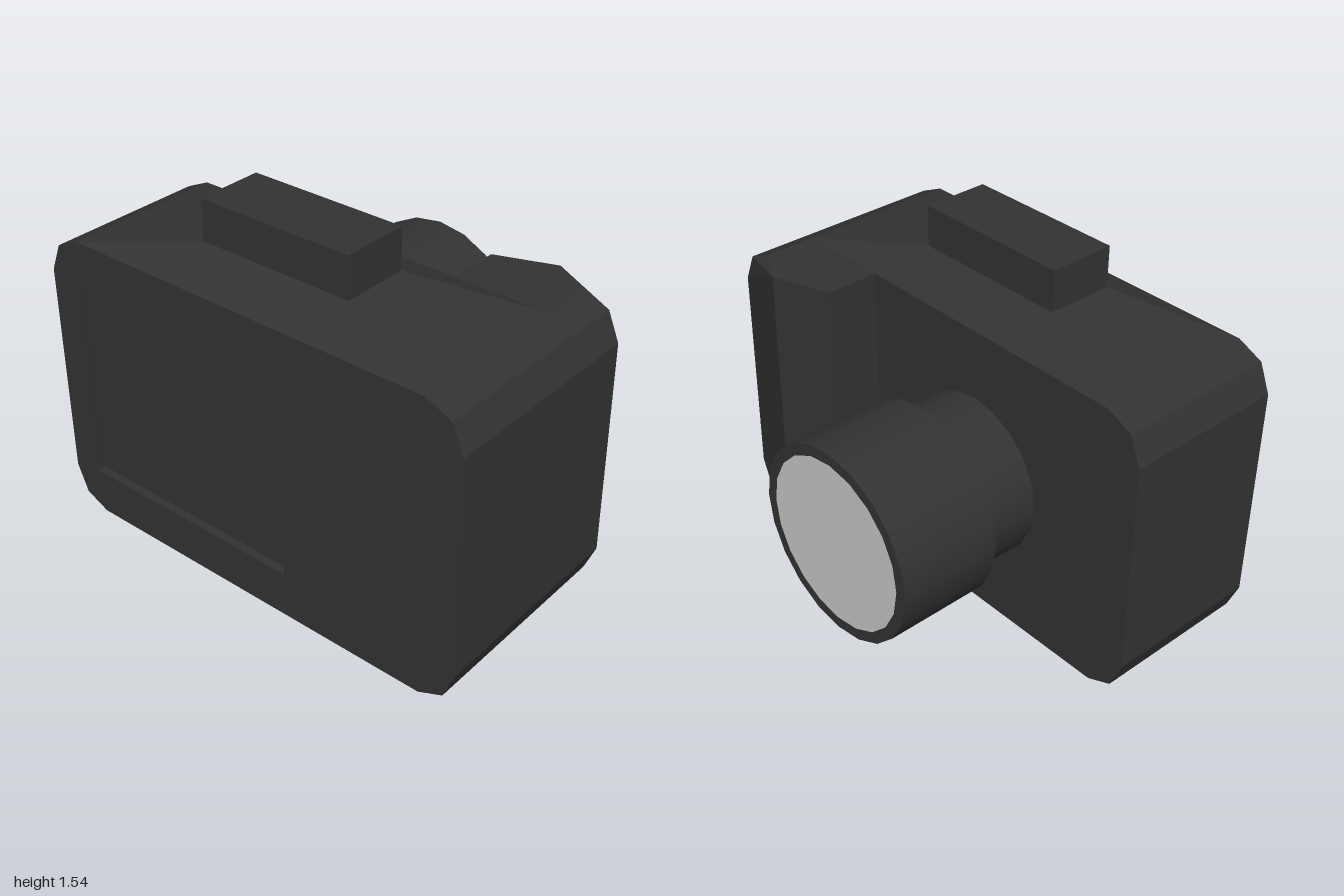
import * as THREE from 'three';
import { ConvexGeometry } from 'three/addons/geometries/ConvexGeometry.js';

const dark = new THREE.MeshStandardMaterial({ color: 0x333333, flatShading: true });
const darkSmooth = new THREE.MeshStandardMaterial({ color: 0x333333 });
const grey = new THREE.MeshStandardMaterial({ color: 0xcccccc });

const HEIGHT = 1.28;
// Chamfered end of the body outline as [z, y], bottom to top
const END = [[0.84, 0], [0.95, 0.05], [1, 0.17], [1, 1.11], [0.95, 1.23], [0.84, HEIGHT]];

function add(parent, name, geometry, material) {
  const mesh = new THREE.Mesh(geometry, material);
  mesh.name = name;
  parent.add(mesh);
  return mesh;
}

// Full outline: one end, then the same end mirrored
function outline() {
  const pts = [...END, ...END.map(([z, y]) => [-z, y]).reverse()];
  return new THREE.Shape(pts.map(([z, y]) => new THREE.Vector2(z, y)));
}

// Extrudes a [z, y] shape backwards (towards -x) from the given x
function slab(shape, x, depth) {
  const g = new THREE.ExtrudeGeometry(shape, { depth, bevelEnabled: false });
  return g.rotateY(-Math.PI / 2).translate(x, 0, 0);
}

const hull = (pts) => new ConvexGeometry(pts.map((p) => new THREE.Vector3(...p)));

// Four corners of a horizontal rectangle
const rect = (x0, x1, z, y) => [[x0, y, -z], [x1, y, -z], [x1, y, z], [x0, y, z]];

function createLens() {
  const lens = new THREE.Group();
  lens.name = 'lens';
  const sides = 20;
  const tube = (name, r, from, to) =>
    add(lens, name, new THREE.CylinderGeometry(r, r, to - from, sides, 1, true)
      .translate(0, (from + to) / 2, 0), darkSmooth);
  const ring = (name, r0, r1, at, facing) =>
    add(lens, name, new THREE.RingGeometry(r0, r1, sides)
      .rotateX(-facing * Math.PI / 2).translate(0, at, 0), darkSmooth);

  tube('lensMount', 0.345, 0, 0.26);
  tube('lensBarrel', 0.41, 0.26, 0.7);
  ring('barrelBack', 0.345, 0.41, 0.26, -1);
  ring('lensRim', 0.362, 0.41, 0.7, 1);
  add(lens, 'lensGlass', new THREE.CircleGeometry(0.362, sides)
    .rotateX(-Math.PI / 2).translate(0, 0.7, 0), grey);

  // Lens axis points along +x
  lens.rotation.z = -Math.PI / 2;
  lens.position.set(0, 0.64, -0.16);
  return lens;
}

export function createModel() {
  const model = new THREE.Group();
  model.name = 'camera';

  // Body, with a back plate cut out around the recessed screen
  const recess = 0.035;
  add(model, 'body', slab(outline(), 0, 0.7 - recess), dark);
  const plate = outline();
  plate.holes.push(new THREE.Path([[-0.865, 0.2], [-0.865, 1.1], [0.19, 1.1], [0.19, 0.2]]
    .map(([z, y]) => new THREE.Vector2(z, y))));
  add(model, 'screenFrame', slab(plate, recess - 0.7, recess), dark);

  // Hand grip, rising to a vertical ridge
  const gripEnd = [[0.43, 0], [0.43, HEIGHT], ...END];
  add(model, 'grip', hull([
    ...gripEnd.map(([z, y]) => [0, y, z]),
    ...gripEnd.map(([z, y]) => [0.23, y, z]),
    [0.32, 0, 0.68], [0.32, HEIGHT, 0.68],
  ]), dark);

  // Sloped top and the block above it
  add(model, 'topSlope', hull([
    ...rect(-0.7, 0, 0.84, HEIGHT), ...rect(-0.5, -0.21, 0.35, 1.365),
  ]), dark);
  add(model, 'viewfinder', new THREE.BoxGeometry(0.29, 0.175, 0.7), dark)
    .position.set(-0.355, 1.4525, 0);

  model.add(createLens());
  return model;
}
